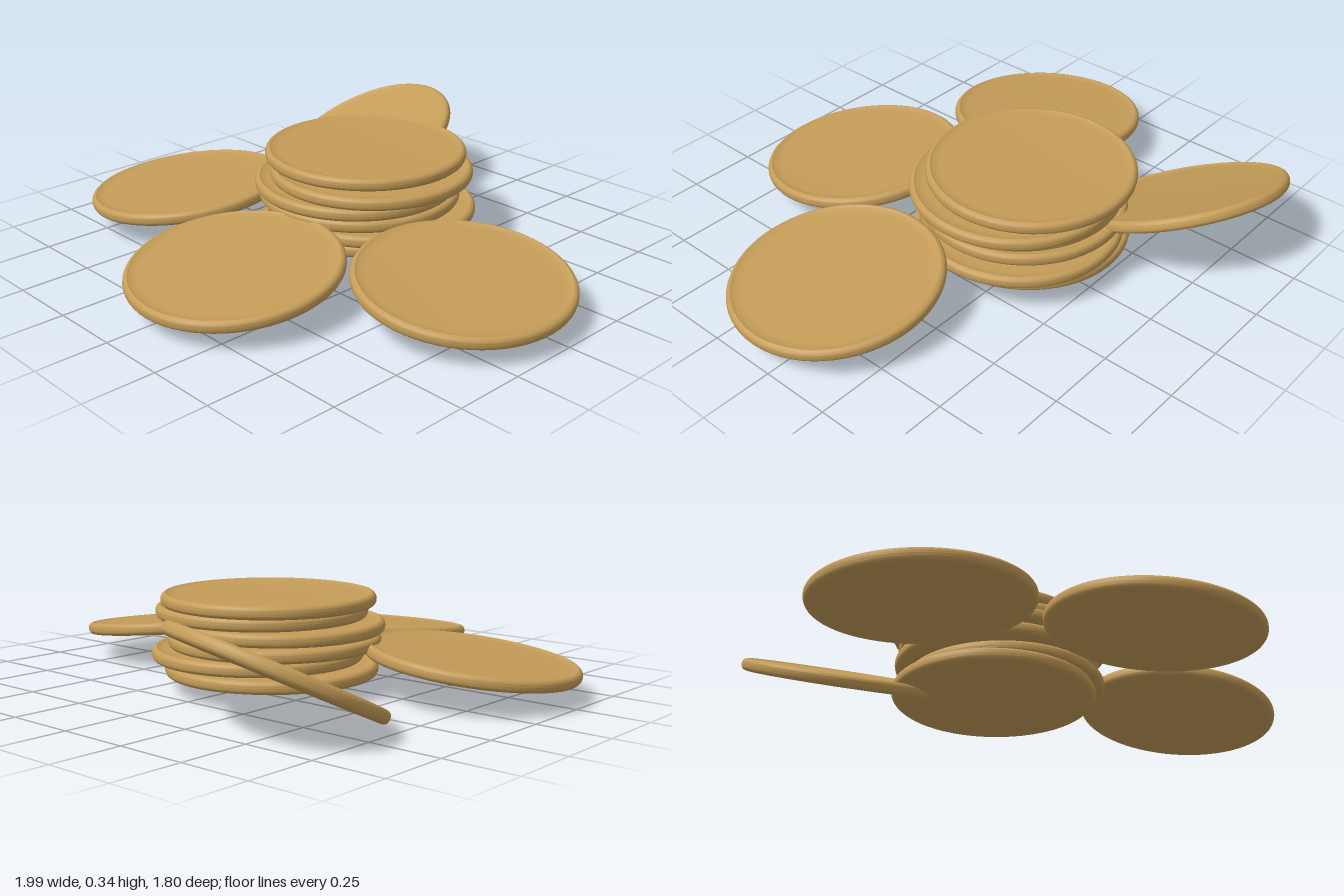
import * as THREE from 'three';
import { toCreasedNormals } from 'three/addons/utils/BufferGeometryUtils.js';

const R = 0.365, H = 0.044; // coin radius and thickness

// Round-edged disc with a raised lip around a shallow recessed top face
function coinGeometry() {
  const h = H / 2, core = R - h * 0.8;
  const pts = [new THREE.Vector2(0, -h), new THREE.Vector2(core - 0.02, -h)];
  for (let i = 0; i <= 8; i++) {
    const a = -Math.PI / 2 + (i / 8) * Math.PI;
    pts.push(new THREE.Vector2(core + h * 0.8 * Math.cos(a), h * Math.sin(a)));
  }
  pts.push(new THREE.Vector2(R - 0.026, h - 0.005));
  pts.push(new THREE.Vector2(R - 0.05, h - 0.006));
  pts.push(new THREE.Vector2(0, h - 0.006));
  return toCreasedNormals(new THREE.LatheGeometry(pts, 64), 0.6);
}

export function createModel() {
  const group = new THREE.Group();
  group.name = 'coinPile';
  const gold = new THREE.MeshStandardMaterial({ color: 0xc49c58 });
  gold.name = 'antique gold';
  const geometry = coinGeometry();
  const up = new THREE.Vector3(0, 1, 0);

  // The coin rises towards the horizontal direction (dx, dz) by the given angle
  function addCoin(name, x, y, z, dx = 1, dz = 0, angle = 0) {
    const coin = new THREE.Mesh(geometry, gold);
    coin.name = name;
    coin.position.set(x, y, z);
    const d = new THREE.Vector3(dx, 0, dz).normalize();
    const normal = up.clone().multiplyScalar(Math.cos(angle)).addScaledVector(d, -Math.sin(angle));
    coin.quaternion.setFromUnitVectors(up, normal);
    group.add(coin);
  }

  // Uneven central stack, bottom to top
  const stack = [[-0.065, -0.165], [-0.01, -0.175], [-0.065, -0.15], [-0.065, -0.13], [-0.01, -0.155], [-0.065, -0.18]];
  stack.forEach(([x, z], i) => addCoin('stackCoin' + (i + 1), x, 0.083 + i * 0.048, z));

  // Coins leaning on the stack
  addCoin('leftLeaningCoin', 0.63, 0.128, 0.07, -0.7, -0.25, 0.117);
  addCoin('rightLeaningCoin', -0.635, 0.128, 0.2, 0.58, -0.36, 0.117);
  addCoin('frontLeaningCoin', 0.052, 0.126, 0.532, -0.11, -0.7, 0.117);

  // Steep coin behind, slipped under the stack and rising outwards
  addCoin('backTiltedCoin', -0.45, 0.178, -0.567, 0.33, -0.94, 0.45);

  return group;
}
